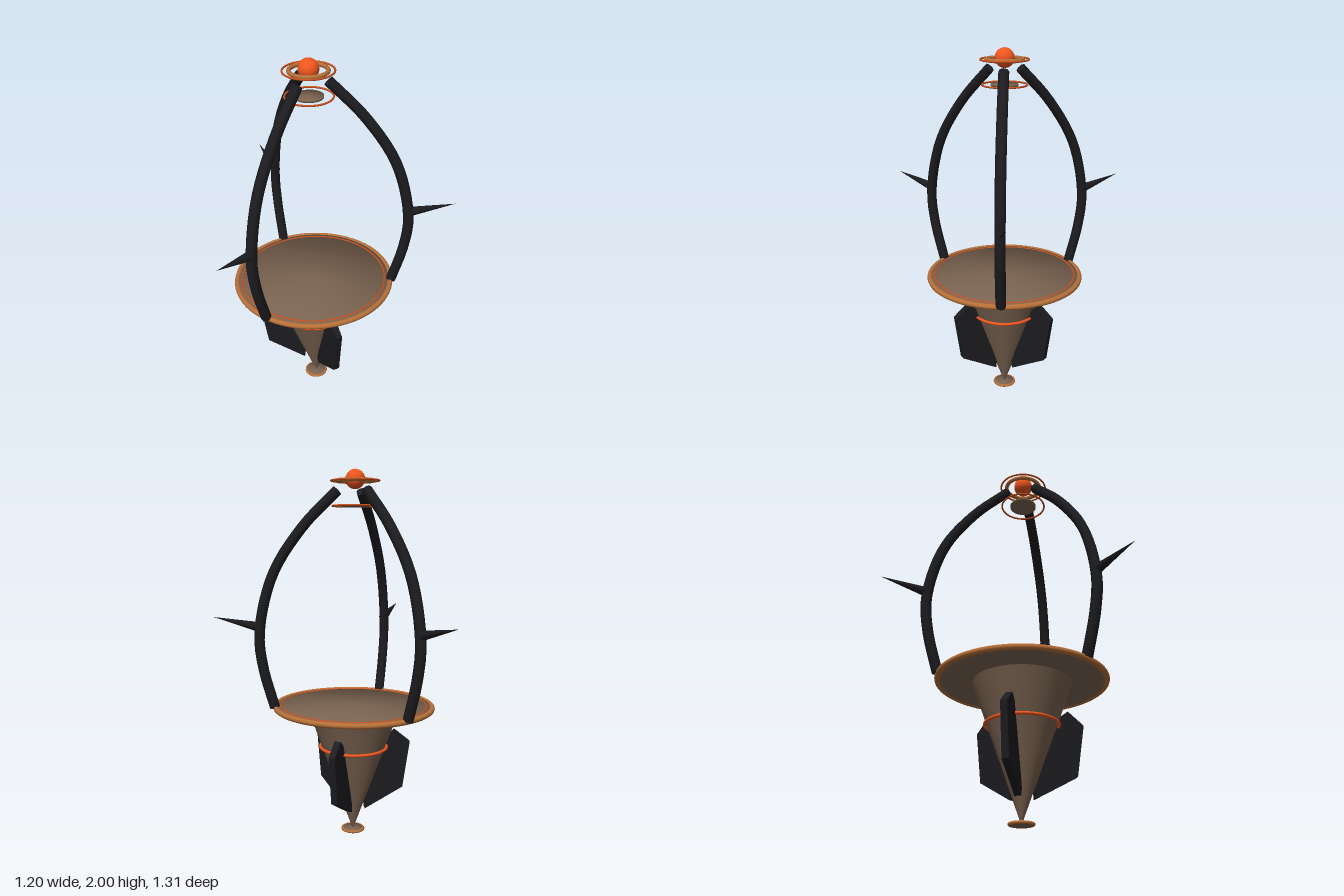
import * as THREE from 'three';

const mat = (color) => new THREE.MeshStandardMaterial({ color });
const brown = mat(0x7a6350), copper = mat(0xb87038), orange = mat(0xf0561e);
const ember = mat(0xc8501e), black = mat(0x1c1c20);

function part(parent, name, geometry, material, y = 0) {
  const mesh = new THREE.Mesh(geometry, material);
  mesh.name = name;
  mesh.position.y = y;
  parent.add(mesh);
  return mesh;
}

// Horizontal ring around the axis
function ring(parent, name, radius, tube, y, material) {
  const geometry = new THREE.TorusGeometry(radius, tube, 10, 64).rotateX(Math.PI / 2);
  return part(parent, name, geometry, material, y);
}

// Thin disc whose normals lean outward at the rim, like a softly smoothed plate
function disc(parent, name, radius, height, y) {
  const geometry = new THREE.CylinderGeometry(radius, radius, height, 64);
  const pos = geometry.attributes.position, normal = geometry.attributes.normal;
  const n = new THREE.Vector3();
  for (let i = 0; i < pos.count; i++) {
    n.set(pos.getX(i) / radius, Math.sign(pos.getY(i)), pos.getZ(i) / radius).normalize();
    normal.setXYZ(i, n.x, n.y, n.z);
  }
  return part(parent, name, geometry, brown, y);
}

// Curved arm with capped ends and an outward spike, lying along +x
function makeArm() {
  const arm = new THREE.Group();
  arm.name = 'arm';
  const radius = 0.028;
  const profile = [[0.435, 0.73], [0.495, 0.95], [0.513, 1.14], [0.44, 1.45], [0.28, 1.7], [0.095, 1.89]];
  const curve = new THREE.CatmullRomCurve3(profile.map(([x, y]) => new THREE.Vector3(x, y, 0)));
  part(arm, 'armTube', new THREE.TubeGeometry(curve, 24, radius, 8), black);
  for (const t of [0, 1]) {
    const cap = part(arm, 'armEndCap', new THREE.CircleGeometry(radius, 8), black);
    const direction = curve.getTangent(t).multiplyScalar(t ? 1 : -1);
    cap.position.copy(curve.getPoint(t));
    cap.quaternion.setFromUnitVectors(new THREE.Vector3(0, 0, 1), direction);
  }

  const base = new THREE.Vector3(0.5, 1.17, 0), tip = new THREE.Vector3(0.755, 1.23, 0);
  const along = tip.clone().sub(base);
  const spike = part(arm, 'spike', new THREE.ConeGeometry(0.028, along.length(), 8), black);
  spike.position.copy(base).add(tip).multiplyScalar(0.5);
  spike.quaternion.setFromUnitVectors(new THREE.Vector3(0, 1, 0), along.normalize());
  return arm;
}

// Flat four-sided fin lying along +x
function makeFin() {
  const outline = [[0.065, 0.13], [0.28, 0.25], [0.318, 0.515], [0.235, 0.583], [0.18, 0.54], [0.06, 0.17]];
  const shape = new THREE.Shape(outline.map(([x, y]) => new THREE.Vector2(x, y)));
  const depth = 0.035;
  const geometry = new THREE.ExtrudeGeometry(shape, { depth, bevelEnabled: false });
  const fin = new THREE.Mesh(geometry.translate(0, 0, -depth / 2), black);
  fin.name = 'fin';
  return fin;
}

export function createModel() {
  const model = new THREE.Group();
  model.name = 'cagedBeacon';
  const body = new THREE.Group();
  body.name = 'body';
  body.position.x = -0.155;
  model.add(body);

  // Foot, tapering hull and platform
  disc(body, 'footDisc', 0.06, 0.014, 0.01);
  ring(body, 'footRim', 0.058, 0.008, 0.01, copper);
  part(body, 'hullCone', new THREE.CylinderGeometry(0.254, 0.004, 0.7, 48), brown, 0.365);
  ring(body, 'hullBand', 0.185, 0.008, 0.495, orange);
  disc(body, 'platform', 0.43, 0.02, 0.725);
  ring(body, 'platformRim', 0.43, 0.015, 0.725, copper);
  ring(body, 'platformInlay', 0.4, 0.005, 0.734, ember);

  // Three arms, with fins set between them
  for (let i = 0; i < 3; i++) {
    const angle = (i * Math.PI * 2) / 3;
    const arm = makeArm();
    arm.rotation.y = angle;
    const fin = makeFin();
    fin.rotation.y = angle + Math.PI;
    body.add(arm, fin);
  }

  // Crown with glowing ball
  disc(body, 'crownDisc', 0.073, 0.01, 1.81);
  ring(body, 'crownLowerRing', 0.12, 0.005, 1.81, ember);
  ring(body, 'crownRing', 0.095, 0.011, 1.94, copper);
  ring(body, 'crownOuterRing', 0.127, 0.005, 1.94, ember);
  part(body, 'ball', new THREE.SphereGeometry(0.052, 32, 24), orange, 1.948);
  return model;
}
